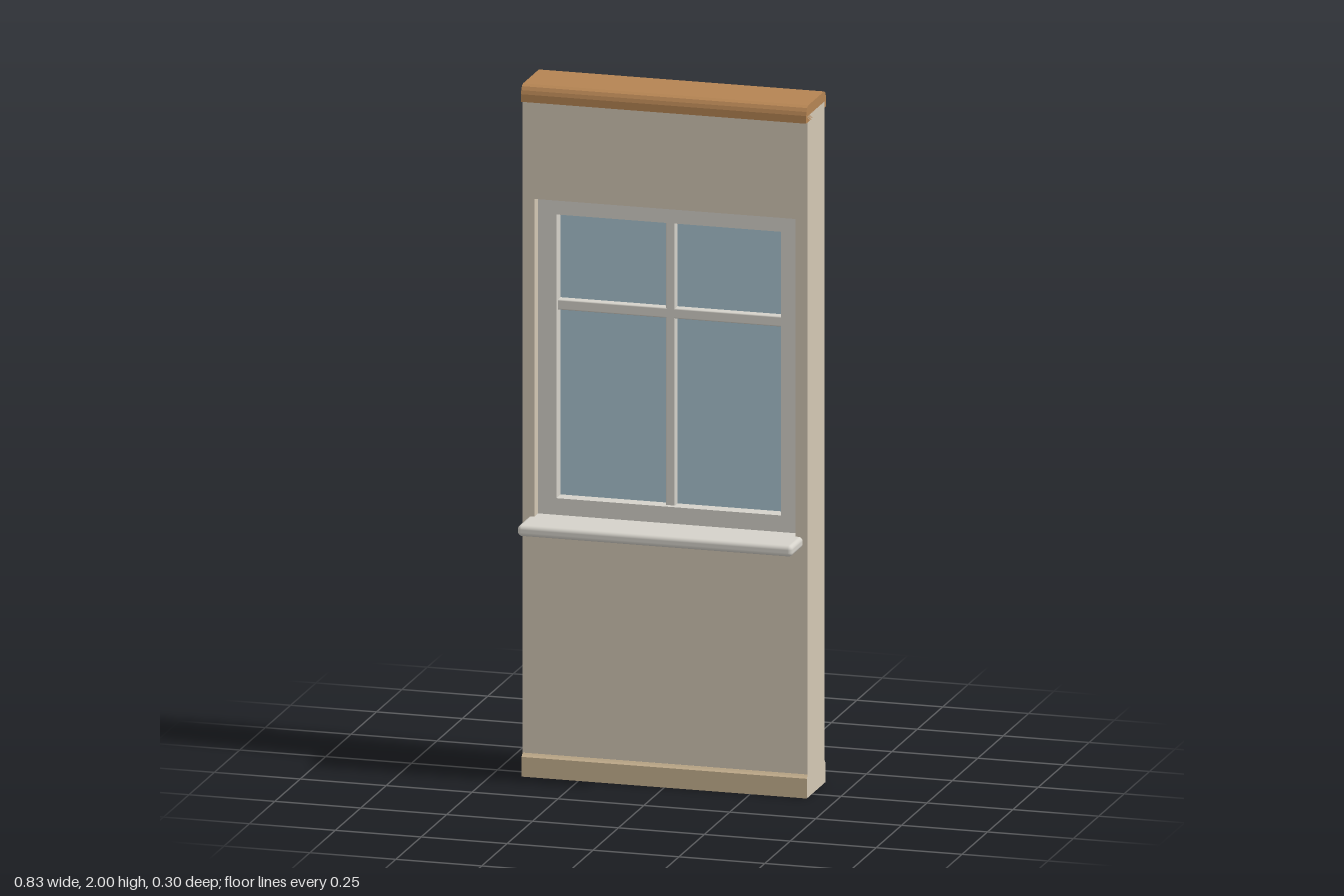
import * as THREE from 'three';
import { RoundedBoxGeometry } from 'three/addons/geometries/RoundedBoxGeometry.js';

const WIDTH = 0.83;   // length of the wall section
const MID_Z = -0.042; // centre plane of the wall

const mat = (color) => new THREE.MeshStandardMaterial({ color });

// Rectangle with a rectangular opening, extruded about the wall's centre plane
function pane(x, y0, y1, hx, hy0, hy1, depth) {
  const rect = (w, a, b) => [[-w, a], [w, a], [w, b], [-w, b]].map(([px, py]) => new THREE.Vector2(px, py));
  const shape = new THREE.Shape(rect(x, y0, y1));
  shape.holes.push(new THREE.Path(rect(hx, hy0, hy1).reverse()));
  const g = new THREE.ExtrudeGeometry(shape, { depth, bevelEnabled: false });
  return g.translate(0, 0, MID_Z - depth / 2);
}

// Half profile of [distance from centre plane, height], mirrored and run along x
function moulding(half) {
  const pts = [...half, ...half.map(([d, y]) => [-d, y]).reverse()];
  const shape = new THREE.Shape(pts.map(([d, y]) => new THREE.Vector2(d, y)));
  const g = new THREE.ExtrudeGeometry(shape, { depth: WIDTH, bevelEnabled: false });
  return g.translate(0, 0, -WIDTH / 2).rotateY(Math.PI / 2).translate(0, 0, MID_Z);
}

function bar(w, h, d, r, x, y, z) {
  return new RoundedBoxGeometry(w, h, d, 3, r).translate(x, y, z);
}

export function createModel() {
  const model = new THREE.Group();
  const plaster = mat(0xd3c7b4);
  const skirtingPaint = mat(0xc8b391);
  const wood = mat(0xb58453);
  const white = mat(0xd5d2ca);
  const glass = mat(0xa9c5d1);

  const add = (name, geometry, material) => {
    const mesh = new THREE.Mesh(geometry, material);
    mesh.name = name;
    model.add(mesh);
  };

  // Wall with window opening
  add('wall', pane(WIDTH / 2, 0.03, 1.97, 0.38, 0.74, 1.67, 0.165), plaster);

  // Skirting on both faces, with plaster-coloured ends
  add('skirting', moulding([[0.092, 0], [0.092, 0.057], [0.087, 0.062], [0.083, 0.067]]), [plaster, skirtingPaint]);

  // Wooden coping with softened upper edges
  add('coping', moulding([
    [0.098, 1.952], [0.098, 1.974], [0.095, 1.985], [0.089, 1.995], [0.078, 2],
  ]), wood);

  // Sill through the wall, projecting further at the front
  add('sill', bar(0.8, 0.032, 0.298, 0.012, 0, 0.736, -0.002), white);

  // Window frame, crossing bars and glass
  add('windowFrame', pane(0.38, 0.74, 1.67, 0.327, 0.8, 1.62, 0.095), white);
  add('verticalBar', bar(0.027, 0.83, 0.06, 0.004, 0, 1.21, MID_Z), white);
  add('horizontalBar', bar(0.664, 0.03, 0.06, 0.004, 0, 1.355, MID_Z), white);
  add('glass', new THREE.BoxGeometry(0.66, 0.83, 0.01).translate(0, 1.21, MID_Z), glass);

  return model;
}
